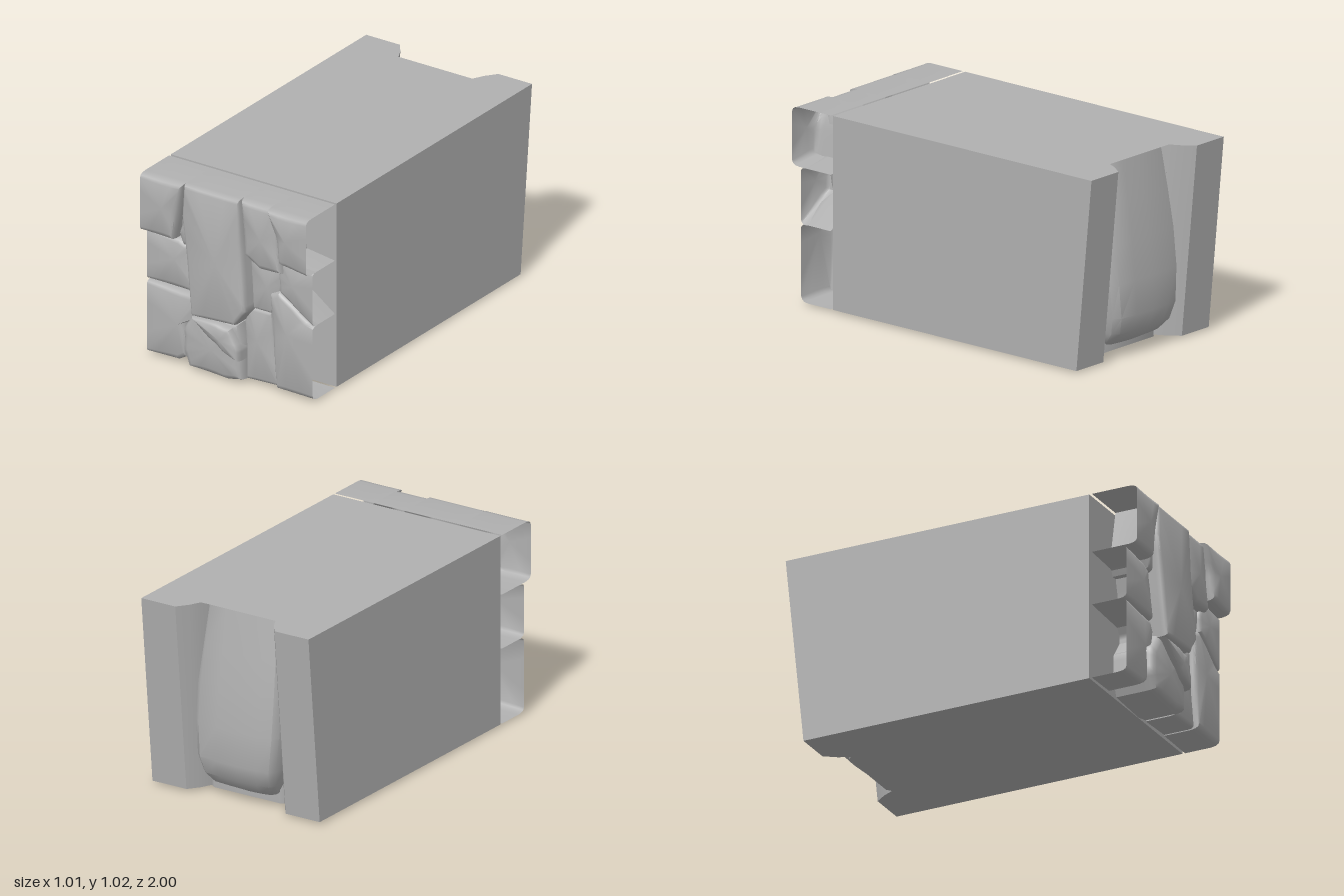
import * as THREE from 'three';
import { toCreasedNormals } from 'three/addons/utils/BufferGeometryUtils.js';

const HALF = 0.505, TOP = 1.025, BACK = 0.725;

// Non-indexed geometry from a list of points, with smooth and sharp edges
function creased(points, angle) {
  const g = new THREE.BufferGeometry();
  g.setAttribute('position', new THREE.Float32BufferAttribute(points.flat(), 3));
  return toCreasedNormals(g, angle);
}

// Joins successive rings of points; skip() leaves chosen strips open
function loft(rings, skip = () => false, closed = true) {
  const out = [];
  for (let r = 0; r < rings.length - 1; r++) {
    const a = rings[r], b = rings[r + 1];
    for (let i = 0; i < (closed ? a.length : a.length - 1); i++) {
      const j = (i + 1) % a.length;
      if (!skip(a[i], a[j])) out.push(a[i], a[j], b[j], a[i], b[j], b[i]);
    }
  }
  return out;
}

// A rock shell: outline walls running back, a rounded rim and a domed face
function rock({ pts, z, tilt = 0, bevel = 0.03, dome = 0.01 }) {
  const corners = pts.map(p => new THREE.Vector2(...p));
  if (THREE.ShapeUtils.isClockWise(corners)) corners.reverse();
  const outline = [];
  corners.forEach((p, i) => {
    const q = corners[(i + 1) % corners.length];
    for (let k = 0; k < 4; k++) outline.push(p.clone().lerp(q, k / 4));
  });
  const c = outline.reduce((s, p) => s.add(p), new THREE.Vector2()).divideScalar(outline.length);
  const onEnd = x => Math.abs(x) > HALF - 0.002;
  const ring = (inset, depth) => outline.map(p => {
    const q = p.clone().lerp(c, Math.min(inset / p.distanceTo(c), 0.9));
    return [onEnd(p.x) ? p.x : q.x, q.y, depth === null ? BACK : z + tilt * (q.y - c.y) - depth];
  });
  const rings = [ring(0, null), ring(0, bevel * 1.6), ring(bevel * 0.15, bevel * 0.7),
    ring(bevel * 0.5, bevel * 0.2), ring(bevel * 1.1, 0)];
  const out = loft(rings, (a, b) => onEnd(a[0]) && onEnd(b[0]) && a[0] * b[0] > 0);
  const face = rings[4], mid = [c.x, c.y, z + dome];
  face.forEach((p, i) => out.push(p, face[(i + 1) % face.length], mid));
  return creased(out, 0.75);
}

export function createModel() {
  const group = new THREE.Group();
  const stone = new THREE.MeshStandardMaterial({ color: 0xb0b0b0, side: THREE.DoubleSide });
  stone.name = 'grey stone';
  const add = (name, geometry) => {
    const mesh = new THREE.Mesh(geometry, stone);
    mesh.name = name;
    group.add(mesh);
  };

  // Long block with a leaning back and an upright channel between two columns
  const section = y => {
    const b = -0.9 - 0.1 * (y - 0.012) / (TOP - 0.012);
    const side = [[HALF, 0.71], [HALF, b], [0.3, b], [0.255, b + 0.06], [0.225, b + 0.12], [0.2, -0.8]];
    return [...side, ...side.map(([x, z]) => [-x, z]).reverse()].map(([x, z]) => [x, y, z]);
  };
  const low = section(0.012), high = section(TOP);
  const block = loft([low, high]);
  const flat = low.map(p => new THREE.Vector2(p[0], p[2]));
  for (const [i, j, k] of THREE.ShapeUtils.triangulateShape(flat, [])) {
    const up = (flat[j].x - flat[i].x) * (flat[k].y - flat[i].y) - (flat[j].y - flat[i].y) * (flat[k].x - flat[i].x) < 0;
    const [a, b] = up ? [j, k] : [k, j];
    block.push(high[i], high[a], high[b], low[i], low[b], low[a]);
  }
  add('mainBlock', creased(block, 0.7));

  // Bulging slab standing in the channel: height, half width, depth of face
  const slab = [[0.04, 0.15, -0.8], [0.07, 0.19, -0.86], [0.13, 0.215, -0.915], [0.22, 0.235, -0.94],
    [0.4, 0.25, -0.935], [0.6, 0.25, -0.915], [0.8, 0.24, -0.885], [TOP, 0.23, -0.845]];
  const slabRings = slab.map(([y, w, z]) =>
    [[1, 0.12], [1, 0.04], [0.86, 0.008], [0.4, 0], [-0.1, -0.006], [-0.6, 0], [-0.9, 0.01], [-1, 0.04], [-1, 0.12]]
      .map(([s, d]) => [s * w - 0.005, y, Math.min(z + d, -0.78)]));
  const slabFaces = loft(slabRings, undefined, false);
  const cap = slabRings[slabRings.length - 1];
  for (let i = 1; i < cap.length - 1; i++) slabFaces.push(cap[0], cap[i], cap[i + 1]);
  add('backSlab', creased(slabFaces, 0.7));

  // Front cladding of fitted rocks
  const rocks = {
    topRightCornerRock: { z: 0.98, pts: [[-HALF, TOP], [-0.25, TOP], [-0.275, 0.9], [-0.315, 0.7], [-HALF, 0.705]] },
    middleRightRock: { z: 0.92, pts: [[-HALF, 0.705], [-0.31, 0.695], [-0.25, 0.67], [-0.225, 0.57], [-0.205, 0.41], [-HALF, 0.415]] },
    lowerRightRock: { z: 0.92, pts: [[-HALF, 0.415], [-0.23, 0.4], [-0.205, 0.36], [-0.21, 0.28], [-0.265, 0.24], [-0.275, 0.04], [-0.32, 0.015], [-HALF, 0.012]] },
    creviceRock: { z: 0.93, pts: [[-0.27, 0.92], [-0.31, 0.72], [-0.28, 0.66], [-0.23, 0.66], [-0.24, 0.88]] },
    tallCentreRock: { z: 0.98, tilt: -0.03, bevel: 0.022, pts: [[-0.25, TOP], [0.085, TOP], [0.1, 0.8], [0.125, 0.55], [0.135, 0.42], [0.07, 0.335], [-0.19, 0.32], [-0.215, 0.5], [-0.26, 0.86]] },
    upperLeftRock: { z: 0.955, pts: [[0.085, TOP], [0.27, TOP], [0.305, 0.9], [0.33, 0.67], [0.2, 0.665], [0.105, 0.72]] },
    topLeftCornerRock: { z: 0.98, pts: [[0.26, TOP], [HALF, TOP], [HALF, 0.715], [0.335, 0.735], [0.305, 0.9]] },
    middleLeftRock: { z: 0.92, bevel: 0.02, pts: [[0.32, 0.74], [HALF, 0.715], [HALF, 0.42], [0.3, 0.555], [0.29, 0.65]] },
    innerLeftRock: { z: 0.9, bevel: 0.015, pts: [[0.11, 0.73], [0.32, 0.68], [0.3, 0.56], [0.235, 0.415], [0.12, 0.415]] },
    narrowRock: { z: 0.895, bevel: 0.02, pts: [[0.1, 0.42], [0.235, 0.42], [0.28, 0.02], [0.08, 0.012], [0.07, 0.34]] },
    lowerLeftRock: { z: 0.92, pts: [[0.24, 0.54], [0.29, 0.56], [0.38, 0.51], [HALF, 0.42], [HALF, 0.012], [0.28, 0.015], [0.25, 0.3]] },
    bottomCentreRock: { z: 0.95, bevel: 0.035, pts: [[-0.27, 0.23], [-0.2, 0.33], [0.07, 0.33], [0.09, 0.2], [0.09, 0.02], [0, 0], [-0.24, 0.012], [-0.275, 0.1]] },
    wedgeRock: { z: 0.985, bevel: 0.025, pts: [[-0.2, 0.315], [-0.05, 0.32], [0.04, 0.305], [0.09, 0.2], [0.09, 0.135], [0, 0.165], [-0.1, 0.23]] },
  };
  for (const [name, spec] of Object.entries(rocks)) add(name, rock(spec));

  return group;
}
